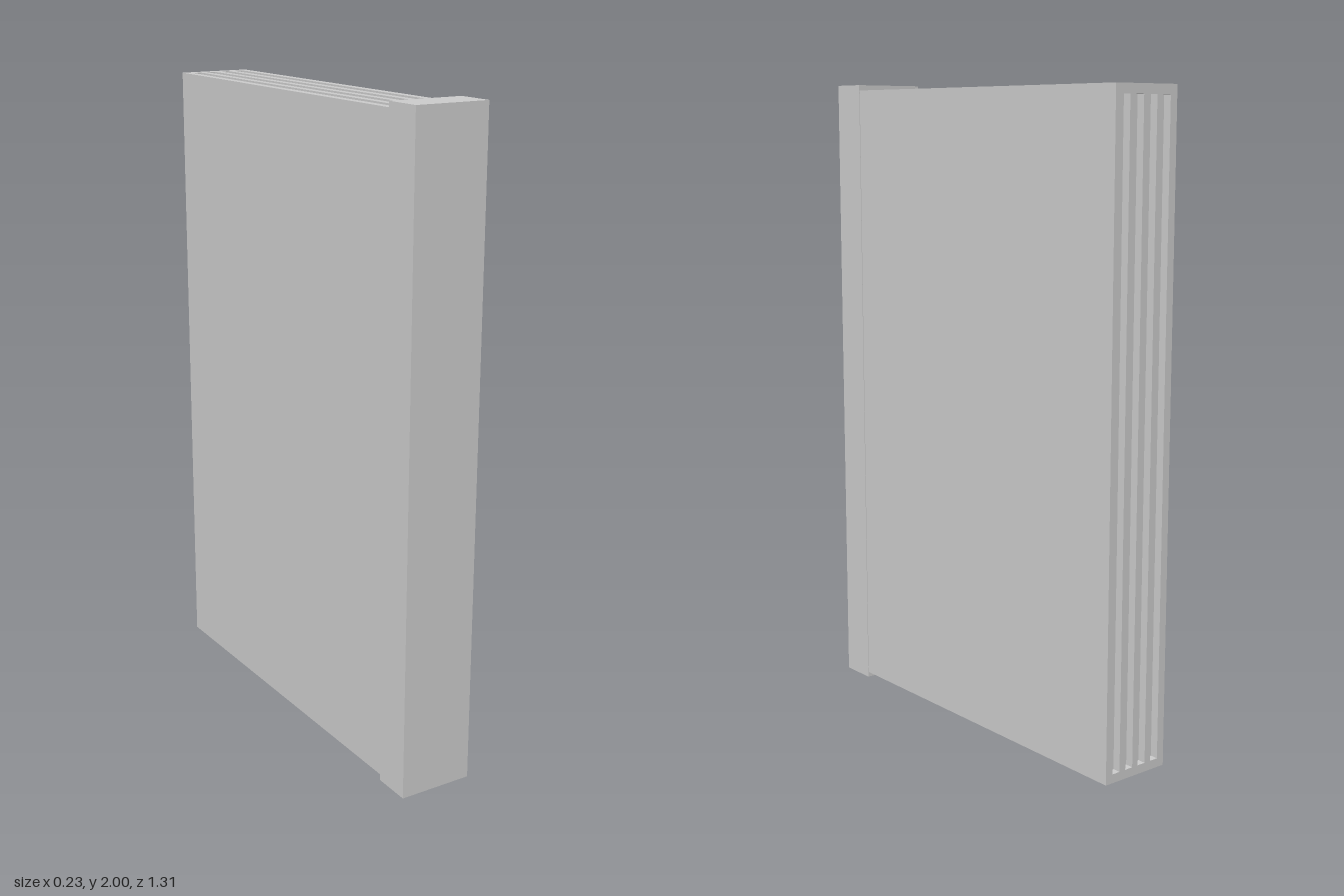
import * as THREE from 'three';

const HALF_W = 0.115;                              // half thickness of the block
const BOTTOM = 0.017, TOP = 1.983;                 // block height range
const BACK = -0.655, FRONT = 0.655, SPINE_BACK = 0.535;
const DEPTH = 0.025;                               // groove depth
const GROOVES = [-0.076, -0.025, 0.025, 0.076];    // groove centres in x
const GROOVE_HALF = 0.014;

function rectangle(Type, x0, x1, y0, y1) {
  const p = new Type();
  p.moveTo(x0, y0);
  p.lineTo(x1, y0);
  p.lineTo(x1, y1);
  p.lineTo(x0, y1);
  p.closePath();
  return p;
}

// A slab pierced by four long slots
function slottedSlab(y0, y1, slot0, slot1) {
  const shape = rectangle(THREE.Shape, -HALF_W, HALF_W, y0, y1);
  for (const x of GROOVES) {
    shape.holes.push(rectangle(THREE.Path, x - GROOVE_HALF, x + GROOVE_HALF, slot0, slot1));
  }
  return new THREE.ExtrudeGeometry(shape, { depth: DEPTH, bevelEnabled: false });
}

export function createModel() {
  const group = new THREE.Group();
  const material = new THREE.MeshStandardMaterial({ color: 0xcccccc });

  const add = (name, geometry) => {
    const mesh = new THREE.Mesh(geometry, material);
    mesh.name = name;
    group.add(mesh);
  };
  const box = (name, halfW, y0, y1, z0, z1) => {
    const geometry = new THREE.BoxGeometry(halfW * 2, y1 - y0, z1 - z0);
    geometry.translate(0, (y0 + y1) / 2, (z0 + z1) / 2);
    add(name, geometry);
  };

  // Spine, slightly larger than the block all round
  box('spine', 0.117, 0, 2, SPINE_BACK, FRONT);

  // Solid core whose faces form the groove floors
  const layerY = TOP - DEPTH;
  box('pageBlock', HALF_W, BOTTOM, layerY, BACK + DEPTH, SPINE_BACK);

  // Grooved top edge, its slots running forward into the spine
  const topEdge = slottedSlab(-SPINE_BACK - 0.02, -BACK, -SPINE_BACK - 0.01, -BACK - 0.027);
  topEdge.rotateX(-Math.PI / 2).translate(0, layerY, 0);
  add('topPageEdge', topEdge);

  // Grooved back edge
  const backEdge = slottedSlab(BOTTOM, layerY, BOTTOM + 0.027, layerY - 0.003);
  backEdge.translate(0, 0, BACK);
  add('backPageEdge', backEdge);

  return group;
}
